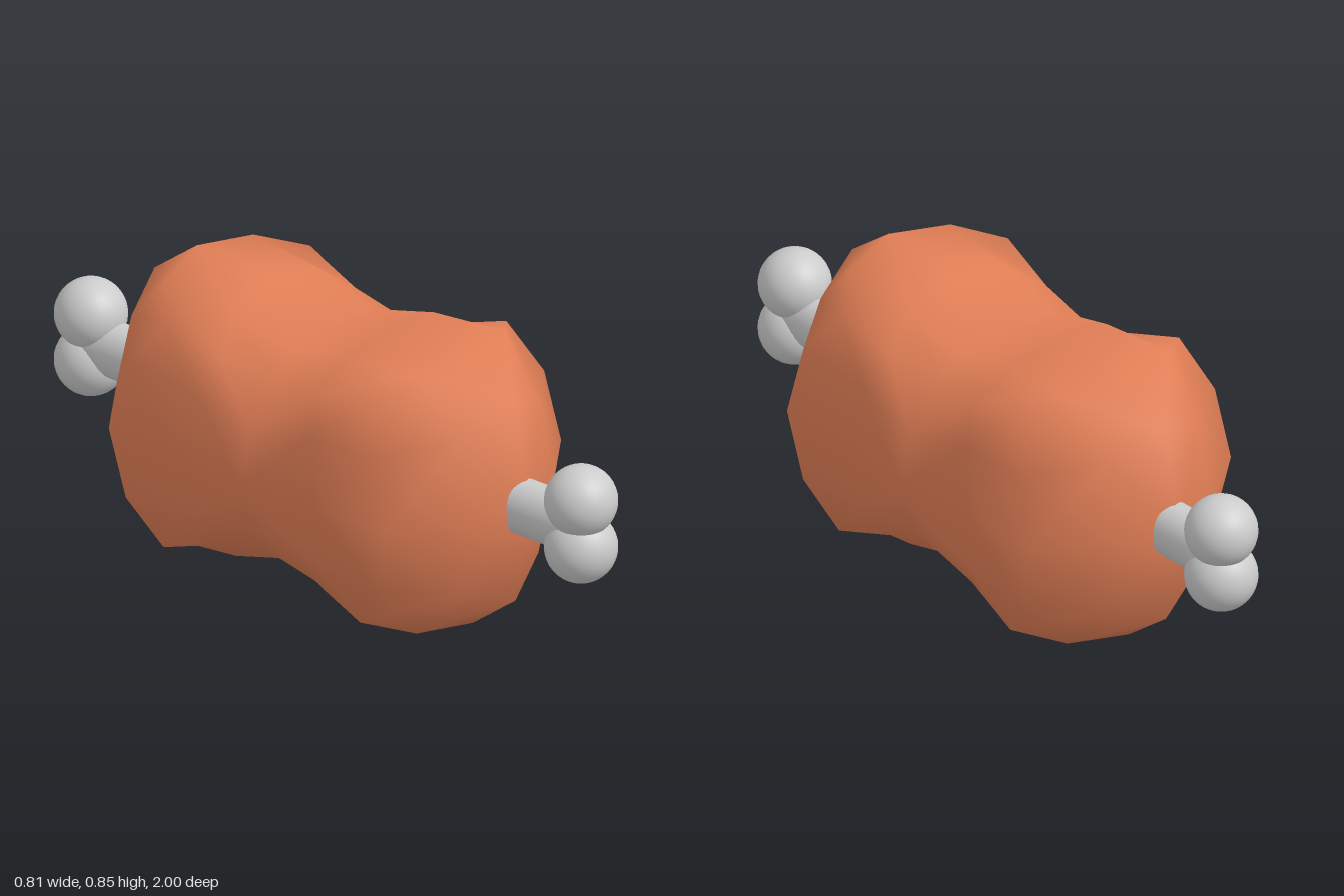
import * as THREE from 'three';
import { mergeVertices } from 'three/addons/utils/BufferGeometryUtils.js';

const MID_Y = 0.425;

// Quarter sections, top to side: [x, y from the middle, z]
const WAIST = [[0, 0.345, 0], [0.17, 0.325, 0], [0.265, 0.275, 0], [0.375, 0.145, 0], [0.405, 0, 0]];
const SHOULDER = [[0, 0.415, 0.225], [0.18, 0.38, 0.21], [0.29, 0.29, 0.17], [0.35, 0.19, 0.21], [0.375, 0, 0.235]];
const RIM = [[0, 0.425, 0.505], [0.19, 0.4, 0.46], [0.315, 0.35, 0.36], [0.36, 0.21, 0.46], [0.38, 0, 0.505]];
const CAP = [[0, 0.305, 0.66], [0.17, 0.24, 0.6], [0.17, 0.24, 0.6], [0.17, 0.24, 0.6], [0.165, 0, 0.66]];
const TIP = Array(5).fill([0, 0, 0.715]);

// Mirror a quarter section into a closed ring of 16 points
function ring(quarter, zSign) {
  const pts = [];
  for (let i = 0; i < 16; i++) {
    const q = Math.floor(i / 4);
    const [x, y, z] = quarter[q % 2 ? 4 - (i % 4) : i % 4];
    pts.push([q < 2 ? x : -x, MID_Y + (q === 0 || q === 3 ? y : -y), z * zSign - 0.004]);
  }
  return pts;
}

function bodyGeometry() {
  const half = [SHOULDER, RIM, CAP, TIP];
  const rings = [
    ...half.slice().reverse().map((s) => ring(s, -1)),
    ring(WAIST, 1),
    ...half.map((s) => ring(s, 1)),
  ];
  const index = [];
  for (let r = 0; r < rings.length - 1; r++) {
    for (let i = 0; i < 16; i++) {
      const j = (i + 1) % 16;
      const a = r * 16 + i, b = r * 16 + j, c = a + 16, d = b + 16;
      // Alternate the diagonal so both ends and both sides match
      const flip = (r < 4) !== (Math.floor(i / 4) % 2 === 0);
      if (flip) index.push(a, c, b, b, c, d);
      else index.push(a, d, b, a, c, d);
    }
  }
  const geo = new THREE.BufferGeometry();
  geo.setAttribute('position', new THREE.Float32BufferAttribute(rings.flat(2), 3));
  geo.setIndex(index);
  const welded = mergeVertices(geo, 1e-4);

  // Drop the triangles that collapsed where ring points coincide
  const w = welded.index.array, kept = [];
  for (let i = 0; i < w.length; i += 3) {
    const [a, b, c] = [w[i], w[i + 1], w[i + 2]];
    if (a !== b && b !== c && c !== a) kept.push(a, b, c);
  }
  welded.setIndex(kept);
  welded.computeVertexNormals();
  return welded;
}

export function createModel() {
  const model = new THREE.Group();
  model.name = 'model';
  const orange = new THREE.MeshStandardMaterial({ color: 0xe27f56 });
  const grey = new THREE.MeshStandardMaterial({ color: 0xcccccc });

  // Waisted body
  const body = new THREE.Mesh(bodyGeometry(), orange);
  body.name = 'body';
  model.add(body);

  // A stem with two overlapping balls at each end
  for (const [side, s] of [['front', 1], ['back', -1]]) {
    const end = new THREE.Group();
    end.name = side + 'Knob';

    const stem = new THREE.Mesh(new THREE.CylinderGeometry(1, 1, 0.3, 32), grey);
    stem.name = side + 'Stem';
    stem.rotation.x = Math.PI / 2;
    stem.scale.set(0.072, 1, 0.083);
    stem.position.set(0, MID_Y, s * 0.73);
    end.add(stem);

    for (const [label, y] of [['Upper', 0.512], ['Lower', 0.368]]) {
      const ball = new THREE.Mesh(new THREE.SphereGeometry(0.104, 32, 20), grey);
      ball.name = side + label + 'Ball';
      ball.position.set(0, y, s * 0.896);
      end.add(ball);
    }
    model.add(end);
  }
  return model;
}
